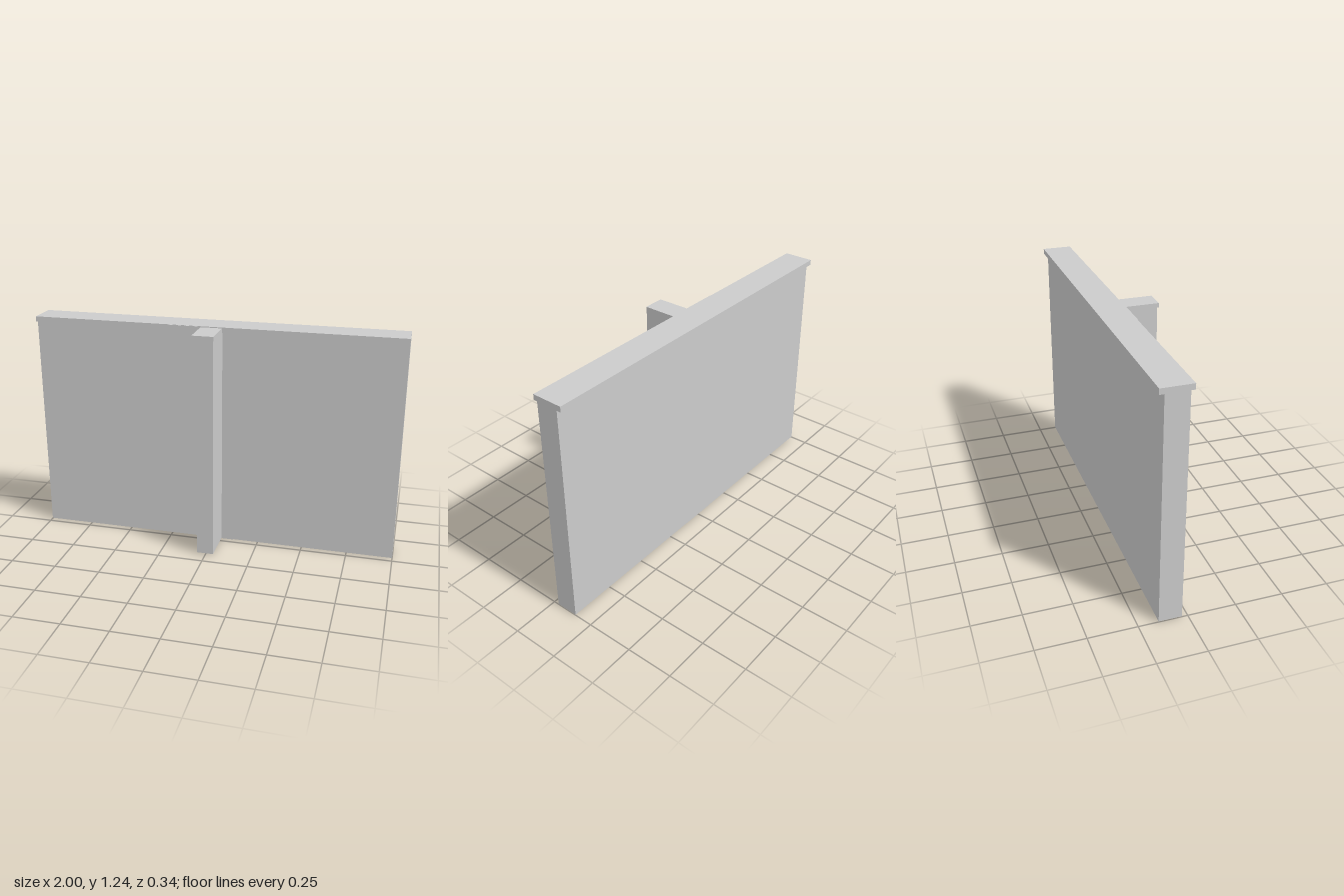
import * as THREE from 'three';

export function createModel() {
  const group = new THREE.Group();
  const material = new THREE.MeshStandardMaterial({ color: 0xcccccc, flatShading: true });

  // Axis-aligned block given by its [min, max] range on each axis
  function block(name, [x0, x1], [y0, y1], [z0, z1]) {
    const mesh = new THREE.Mesh(new THREE.BoxGeometry(x1 - x0, y1 - y0, z1 - z0), material);
    mesh.position.set((x0 + x1) / 2, (y0 + y1) / 2, (z0 + z1) / 2);
    mesh.name = name;
    group.add(mesh);
  }

  // Main wall with its overhanging coping
  block('wall', [-1, 1], [0.003, 1.206], [-0.148, -0.03]);
  block('wallCoping', [-1, 1], [1.206, 1.235], [-0.172, -0.01]);

  // Slight swellings in the coping and at the foot of the wall
  block('copingLip', [-0.26, -0.06], [1.206, 1.234], [-0.02, -0.006]);
  block('wallFoot', [-0.11, 0.11], [0, 0.006], [-0.147, -0.031]);

  // Buttress standing out in front, with a cap overhanging on one side
  block('buttress', [-0.048, 0.042], [0.005, 1.206], [-0.04, 0.172]);
  block('buttressCap', [-0.07, 0.044], [1.206, 1.23], [-0.02, 0.172]);

  return group;
}
